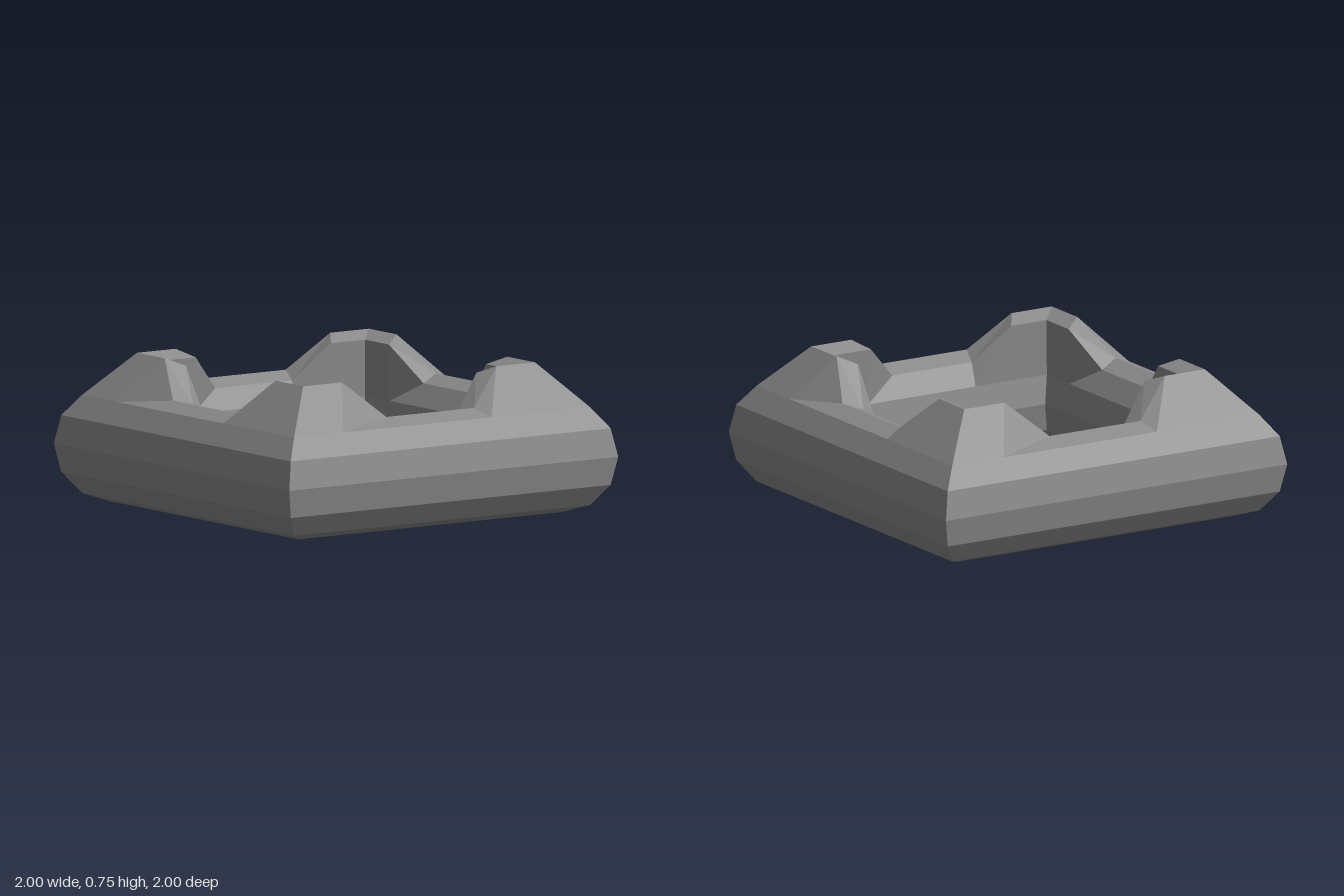
import * as THREE from 'three';

// Tube cross-section as [distance from centre, height]: a 12-sided oval,
// from the bottom round the outside and back.
const lowProfile = Array.from({ length: 12 }, (_, j) => {
  const angle = (j / 12) * Math.PI * 2;
  return [0.8 + 0.2 * Math.sin(angle), 0.283 - 0.283 * Math.cos(angle)];
});

// Near the corners the two top points are pulled up and inwards.
const highProfile = lowProfile.map((p, j) =>
  j === 6 ? [0.705, 0.745] : j === 7 ? [0.617, 0.708] : p);

// Stations along one side, as fractions of its half length (mitred at the ends).
const stations = [-1, -2 / 3, -1 / 3, 1 / 3, 2 / 3, 1];

function sideGeometry() {
  const positions = [];
  const index = [];
  const n = lowProfile.length;
  stations.forEach((t, i) => {
    const profile = Math.abs(t) > 0.5 ? highProfile : lowProfile;
    for (const [d, y] of profile) positions.push(t * d, y, d);
    if (i === 0) return;
    for (let j = 0; j < n; j++) {
      const k = (j + 1) % n;
      const a = (i - 1) * n + j, b = i * n + j;
      const c = i * n + k, e = (i - 1) * n + k;
      index.push(a, b, c, a, c, e);
    }
  });
  const indexed = new THREE.BufferGeometry();
  indexed.setAttribute('position', new THREE.Float32BufferAttribute(positions, 3));
  indexed.setIndex(index);
  const geometry = indexed.toNonIndexed();
  geometry.computeVertexNormals();
  return geometry;
}

export function createModel() {
  const model = new THREE.Group();
  model.name = 'squareRing';
  const material = new THREE.MeshStandardMaterial({ color: 0x8a8a8a, flatShading: true });
  const geometry = sideGeometry();

  // Four identical sides meeting at raised corners
  ['frontSide', 'leftSide', 'backSide', 'rightSide'].forEach((name, i) => {
    const side = new THREE.Mesh(geometry, material);
    side.name = name;
    side.rotation.y = i * Math.PI / 2;
    model.add(side);
  });
  return model;
}
